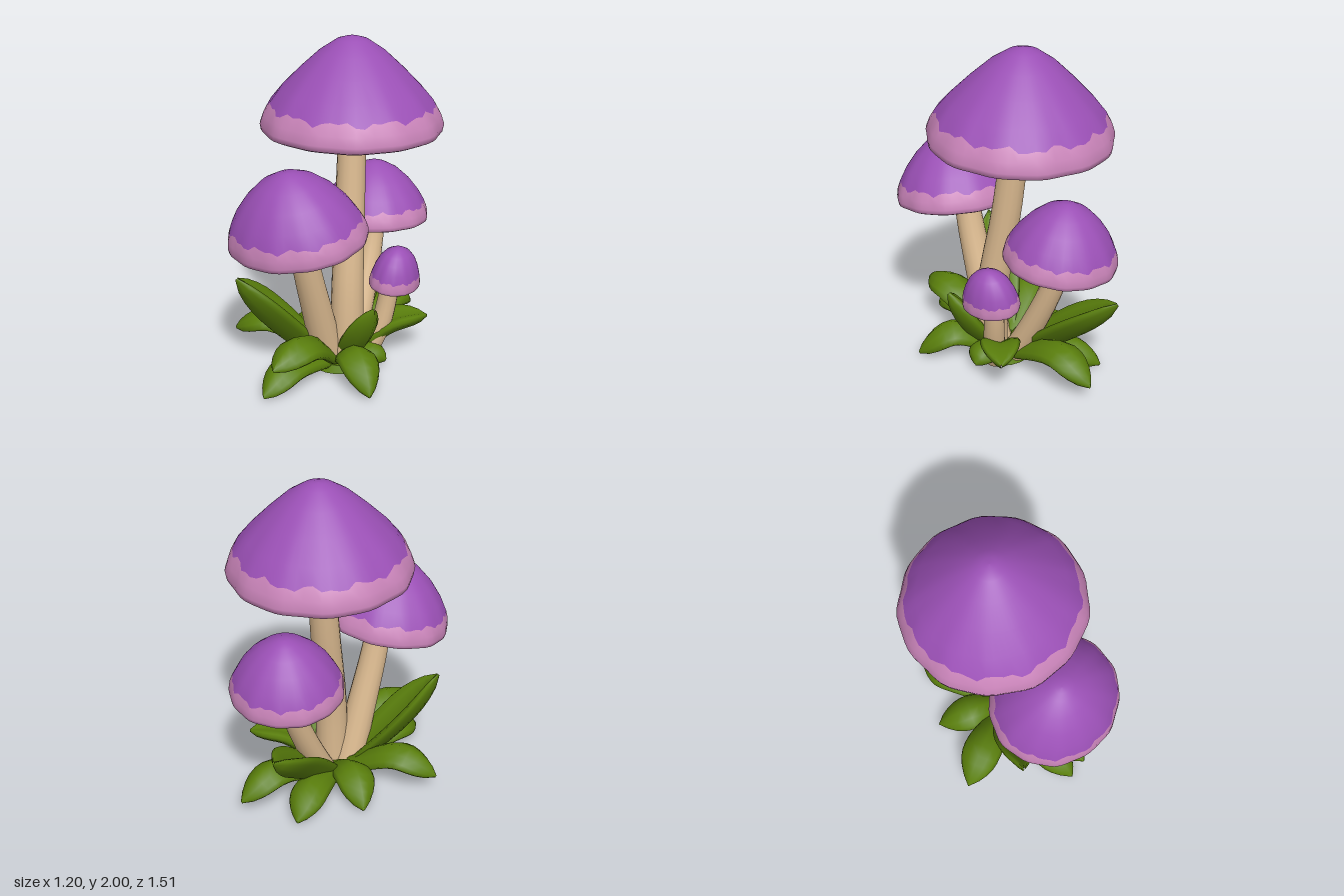
import * as THREE from 'three';

const flat = (name, color) => Object.assign(new THREE.MeshStandardMaterial({ color }), { name });
const V = (a) => new THREE.Vector3(...a);

// Skin a list of equal-sized closed rings of points; rows from splitRow on use material 1.
function loft(rings, splitRow = rings.length) {
  const n = rings[0].length, index = [];
  for (let i = 0; i < rings.length - 1; i++) {
    for (let j = 0; j < n; j++) {
      const a = i * n + j, b = i * n + (j + 1) % n;
      index.push(a, b, a + n, b, b + n, a + n);
    }
  }
  const g = new THREE.BufferGeometry().setFromPoints(rings.flat());
  g.setIndex(index);
  const cut = Math.min(splitRow, rings.length - 1) * n * 6;
  g.addGroup(0, cut, 0);
  if (cut < index.length) g.addGroup(cut, index.length - cut, 1);
  g.computeVertexNormals();
  return g;
}

// Cap profiles from tip to rim, as fractions of radius and height
const BELL = [[0, 1], [0.07, 0.995], [0.17, 0.965], [0.36, 0.84], [0.57, 0.65], [0.77, 0.45], [0.905, 0.285], [0.965, 0.18], [1, 0.08], [0.99, 0.02], [0.95, 0]];
const DOME = [[0, 1], [0.09, 0.995], [0.2, 0.965], [0.42, 0.86], [0.64, 0.68], [0.82, 0.47], [0.93, 0.29], [0.98, 0.18], [1, 0.08], [0.99, 0.02], [0.95, 0]];
const ROUND = [[0, 1], [0.12, 0.995], [0.26, 0.965], [0.5, 0.87], [0.7, 0.71], [0.85, 0.5], [0.94, 0.3], [0.98, 0.19], [1, 0.08], [0.99, 0.02], [0.95, 0]];
const GILLS = [[0.91, 0.03], [0.88, 0.07], [0.5, 0.16], [0.1, 0.23]];
const EDGE = 6; // profile row where the colour changes

function capGeometry(profile, rx, rz, h, seed) {
  const n = 64, rows = [...profile, ...GILLS];
  const rings = rows.map(([r, y], i) => Array.from({ length: n }, (_, j) => {
    const a = j / n * Math.PI * 2;
    let k = r, v = y;
    const wave = Math.sin(13 * a + seed) * 0.6 + Math.sin(7 * a + seed * 2) * 0.4;
    if (i > 2 && i < profile.length) k *= 1 + 0.015 * wave * r * r;
    if (i === EDGE) { // ragged border
      const d = 0.022 * Math.sin(11 * a + seed) + 0.02 * Math.sin(23 * a + seed * 3);
      v += d;
      k -= d * 0.6;
    }
    if (i > profile.length && j % 2) v += 0.03; // pleated gills
    return new THREE.Vector3(rx * k * Math.cos(a), h * v, rz * k * Math.sin(a));
  }));
  return loft(rings, EDGE);
}

// Tapered stem along a curve given from top to bottom
function stemGeometry(points, rTop, rBase) {
  const curve = new THREE.CatmullRomCurve3(points.map(V)), rings = [];
  for (let i = 0; i <= 10; i++) {
    const t = i / 10, c = curve.getPoint(t), r = rTop + (rBase - rTop) * t;
    rings.push(Array.from({ length: 16 }, (_, j) => {
      const a = j / 16 * Math.PI * 2;
      return new THREE.Vector3(c.x + r * Math.cos(a), c.y, c.z + r * Math.sin(a));
    }));
  }
  return loft(rings);
}

// Thick leaf: positive fold lifts the edges into a channel, negative droops them
const LEAF_WIDTH = [0.6, 0.72, 0.82, 0.92, 0.98, 1, 0.98, 0.9, 0.72, 0.44, 0.03];
function leafGeometry(mid, tip, w, fold) {
  const base = new THREE.Vector3(0.05, 0.04, 0).lerp(new THREE.Vector3(tip[0], 0.04, tip[2]), 0.15);
  const curve = new THREE.CatmullRomCurve3([base, V(mid), V(tip)]);
  const side = new THREE.Vector3(0, 1, 0).cross(V(tip).sub(base).setY(0)).normalize();
  const last = LEAF_WIDTH.length - 1;
  return loft(LEAF_WIDTH.map((f, i) => {
    const c = curve.getPoint(i / last), normal = curve.getTangent(i / last).cross(side).normalize();
    return Array.from({ length: 12 }, (_, j) => {
      const a = j / 12 * Math.PI * 2, s = Math.cos(a);
      const up = 0.05 * Math.sqrt(f) * Math.sin(a) + fold * w * f * (Math.abs(s) - 0.5);
      const p = c.clone().addScaledVector(side, s * w * f).addScaledVector(normal, up);
      p.y = Math.max(0, p.y);
      return p;
    });
  }));
}

export function createModel() {
  const model = new THREE.Group();
  model.name = 'mushroomCluster';
  const purple = flat('capPurple', 0x9b50b6), pink = flat('rimPink', 0xc883b8);
  const cream = flat('stemCream', 0xdbba90), green = flat('leafGreen', 0x5a7f0c);
  const add = (parent, name, geometry, material) => {
    const m = new THREE.Mesh(geometry, material);
    m.name = name;
    parent.add(m);
    return m;
  };

  // Mushrooms: cap centre, tilt axis, radii, height, stem path and stem radii
  [
    { name: 'tallMushroom', profile: BELL, at: [0.06, 1.46, -0.125], axis: [-0.01, 1, -0.03], rx: 0.53, rz: 0.525, h: 0.54,
      stem: [[0.07, 1.6, -0.12], [0.09, 1, -0.05], [0.115, 0.5, 0.03], [0.12, 0, 0.05]], r: [0.08, 0.105] },
    { name: 'frontMushroom', profile: DOME, at: [-0.025, 0.935, 0.378], axis: [-0.08, 1, 0.14], rx: 0.405, rz: 0.37, h: 0.425,
      stem: [[-0.03, 1.05, 0.36], [-0.02, 0.75, 0.3], [0, 0.4, 0.2], [0.02, 0, 0.08]], r: [0.072, 0.105] },
    { name: 'backMushroom', profile: DOME, at: [0.08, 0.79, -0.42], axis: [-0.05, 1, -0.09], rx: 0.335, rz: 0.328, h: 0.37,
      stem: [[0.08, 0.9, -0.44], [0.08, 0.65, -0.39], [0.08, 0.35, -0.27], [0.08, 0, -0.09]], r: [0.062, 0.09] },
    { name: 'smallMushroom', profile: ROUND, at: [0.35, 0.52, -0.13], axis: [0.1, 1, 0], rx: 0.148, rz: 0.178, h: 0.24,
      stem: [[0.33, 0.6, -0.13], [0.31, 0.4, -0.12], [0.27, 0.2, -0.09], [0.19, 0, -0.05]], r: [0.055, 0.07] },
  ].forEach((m, i) => {
    const group = new THREE.Group();
    group.name = m.name;
    const cap = add(group, 'cap', capGeometry(m.profile, m.rx, m.rz, m.h, i * 1.7), [purple, pink]);
    cap.position.set(...m.at);
    cap.quaternion.setFromUnitVectors(new THREE.Vector3(0, 1, 0), V(m.axis).normalize());
    add(group, 'stem', stemGeometry(m.stem, ...m.r), cream);
    model.add(group);
  });

  // Leaves: middle point, tip, half width, fold
  const leaves = new THREE.Group();
  leaves.name = 'leaves';
  [
    [[-0.22, 0.34, 0.25], [-0.4, 0.64, 0.45], 0.135, 0.8],
    [[-0.37, 0.22, 0.1], [-0.6, 0.12, 0.16], 0.125, -0.3],
    [[0, 0.31, -0.42], [-0.07, 0.53, -0.73], 0.13, 0.8],
    [[0.23, 0.24, 0.1], [0.36, 0.49, 0.18], 0.11, 0.4],
    [[0.32, 0.23, -0.17], [0.5, 0.25, -0.31], 0.12, 0.5],
    [[0.28, 0.16, 0.22], [0.43, 0.02, 0.37], 0.12, -0.3],
    [[0.01, 0.27, 0.42], [-0.04, 0.23, 0.67], 0.13, -0.35],
    [[-0.08, 0.11, 0.42], [-0.12, 0.02, 0.65], 0.12, -0.3],
    [[-0.2, 0.13, -0.14], [-0.37, 0.02, -0.27], 0.12, -0.3],
    [[0.15, 0.21, -0.5], [0.2, 0.1, -0.73], 0.12, -0.3],
    [[-0.06, 0.11, -0.4], [-0.12, 0.02, -0.6], 0.115, -0.3],
    [[0.25, 0.09, 0], [0.36, 0.05, -0.01], 0.1, -0.2],
  ].forEach((leaf) => add(leaves, 'leaf', leafGeometry(...leaf), green));
  // Closed underside of the clump
  const base = add(leaves, 'clumpBase', new THREE.CylinderGeometry(0.18, 0.2, 0.05, 20), green);
  base.position.set(0.06, 0.025, 0.01);
  model.add(leaves);
  return model;
}
